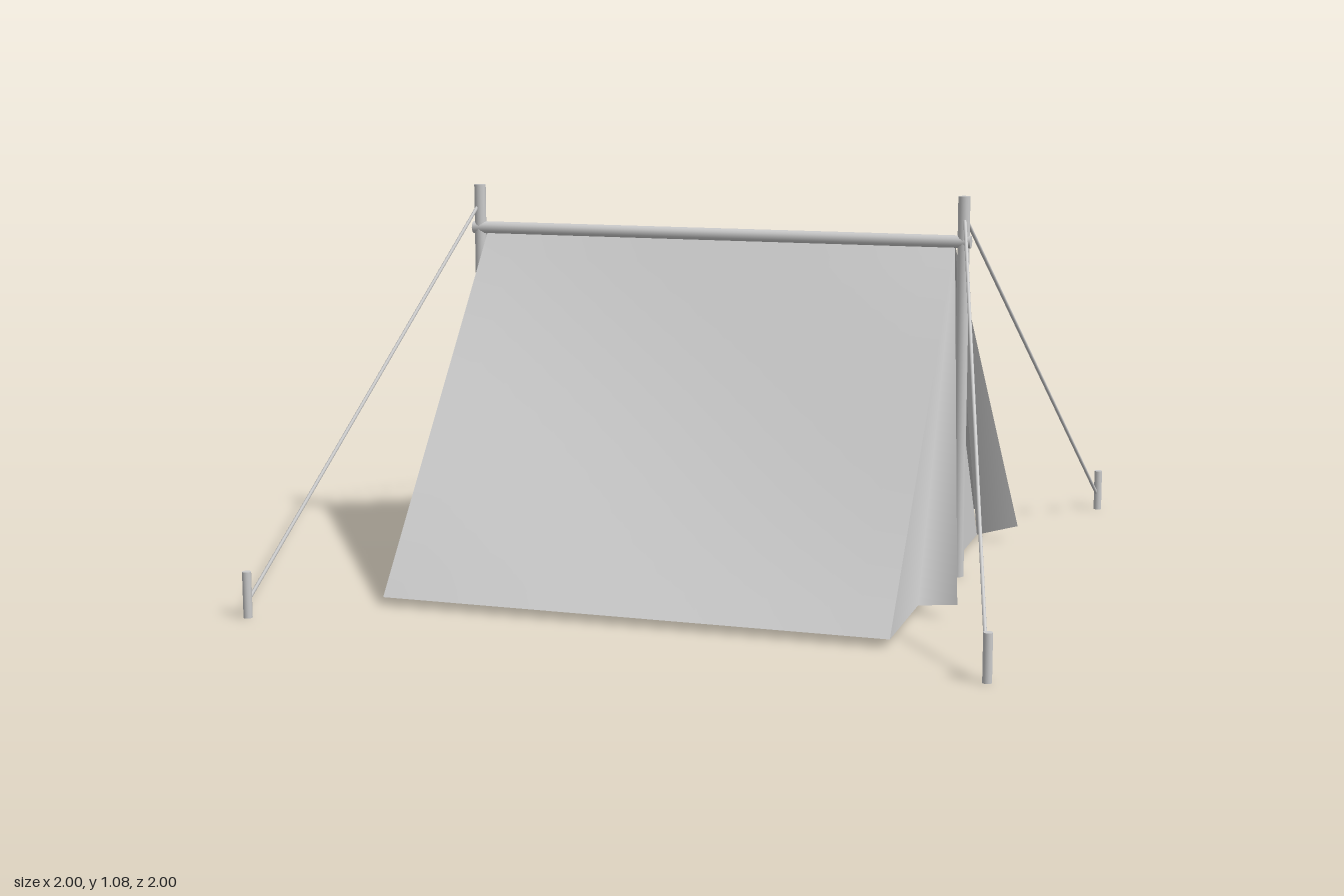
import * as THREE from 'three';

export function createModel() {
  const group = new THREE.Group();
  group.name = 'ridgeTent';
  const wood = new THREE.MeshStandardMaterial({ color: 0xcccccc });
  const cloth = new THREE.MeshStandardMaterial({ color: 0xcccccc, side: THREE.DoubleSide });

  // Round bar between two points
  function bar(name, from, to, radius, sides = 12) {
    const a = new THREE.Vector3(...from), b = new THREE.Vector3(...to);
    const dir = b.clone().sub(a);
    const mesh = new THREE.Mesh(new THREE.CylinderGeometry(radius, radius, dir.length(), sides), wood);
    mesh.position.copy(a).add(b).multiplyScalar(0.5);
    mesh.quaternion.setFromUnitVectors(new THREE.Vector3(0, 1, 0), dir.normalize());
    mesh.name = name;
    group.add(mesh);
  }

  // Cloth made of triangles that share corners, so folds shade softly
  function sheet(name, corners, faces) {
    const geo = new THREE.BufferGeometry();
    geo.setAttribute('position', new THREE.Float32BufferAttribute(corners.flat(), 3));
    geo.setIndex(faces);
    geo.computeVertexNormals();
    const mesh = new THREE.Mesh(geo, cloth);
    mesh.name = name;
    group.add(mesh);
  }

  const endX = 0.7, top = 0.945, hem = 0.022, halfWidth = 0.768, doorWidth = 0.425, sag = 0.04;
  const apex = [endX, top, 0];

  // Sloping wall whose middle sags inward between its taut edges
  function slopingWall(side) {
    const geo = new THREE.PlaneGeometry(2 * endX, 1, 16, 14);
    const pos = geo.attributes.position;
    const slope = Math.hypot(halfWidth, top - hem);
    for (let i = 0; i < pos.count; i++) {
      const x = pos.getX(i), down = 0.5 - pos.getY(i);
      const dip = sag * Math.cos(x / endX * Math.PI / 2) * Math.sin(down * Math.PI);
      pos.setXYZ(i, x,
        top - (top - hem) * down - dip * halfWidth / slope,
        halfWidth * down - dip * (top - hem) / slope);
    }
    geo.computeVertexNormals();
    const mesh = new THREE.Mesh(geo, cloth);
    mesh.name = 'slopingWall';
    if (side < 0) mesh.rotation.y = Math.PI;
    group.add(mesh);
  }

  // Frame
  bar('ridgePole', [-0.745, 0.953, 0], [0.745, 0.953, 0], 0.018);
  for (const s of [-1, 1]) bar('uprightPole', [s * 0.724, 0, 0], [s * 0.724, 1.08, 0], 0.017);

  // Guy ropes and their pegs
  for (const sx of [-1, 1]) for (const sz of [-1, 1]) {
    bar('guyRope', [sx * 0.726, 1.025, 0], [sx * 0.985, 0.05, sz * 0.985], 0.005, 8);
    bar('peg', [sx * 0.988, 0, sz * 0.988], [sx * 0.988, 0.125, sz * 0.988], 0.012);
  }

  // Walls, with the end panels folding into tied-back flaps beside the doorway
  for (const s of [-1, 1]) {
    slopingWall(s);
    const corner = [endX, hem, s * halfWidth], hinge = [endX, hem, s * doorWidth];
    const tip = [0.815, 0.045, s * 0.475];
    sheet('endPanelAndFlap', [apex, corner, hinge, tip], s > 0 ? [0, 1, 2, 0, 2, 3] : [0, 2, 1, 0, 3, 2]);
  }

  // Low door screen and closed far end
  sheet('doorScreen', [[endX, 0.68, 0], [endX, hem, doorWidth], [endX, hem, -doorWidth]], [0, 1, 2]);
  sheet('closedEnd', [[-endX, top, 0], [-endX, hem, -halfWidth], [-endX, hem, halfWidth]], [0, 1, 2]);

  return group;
}
